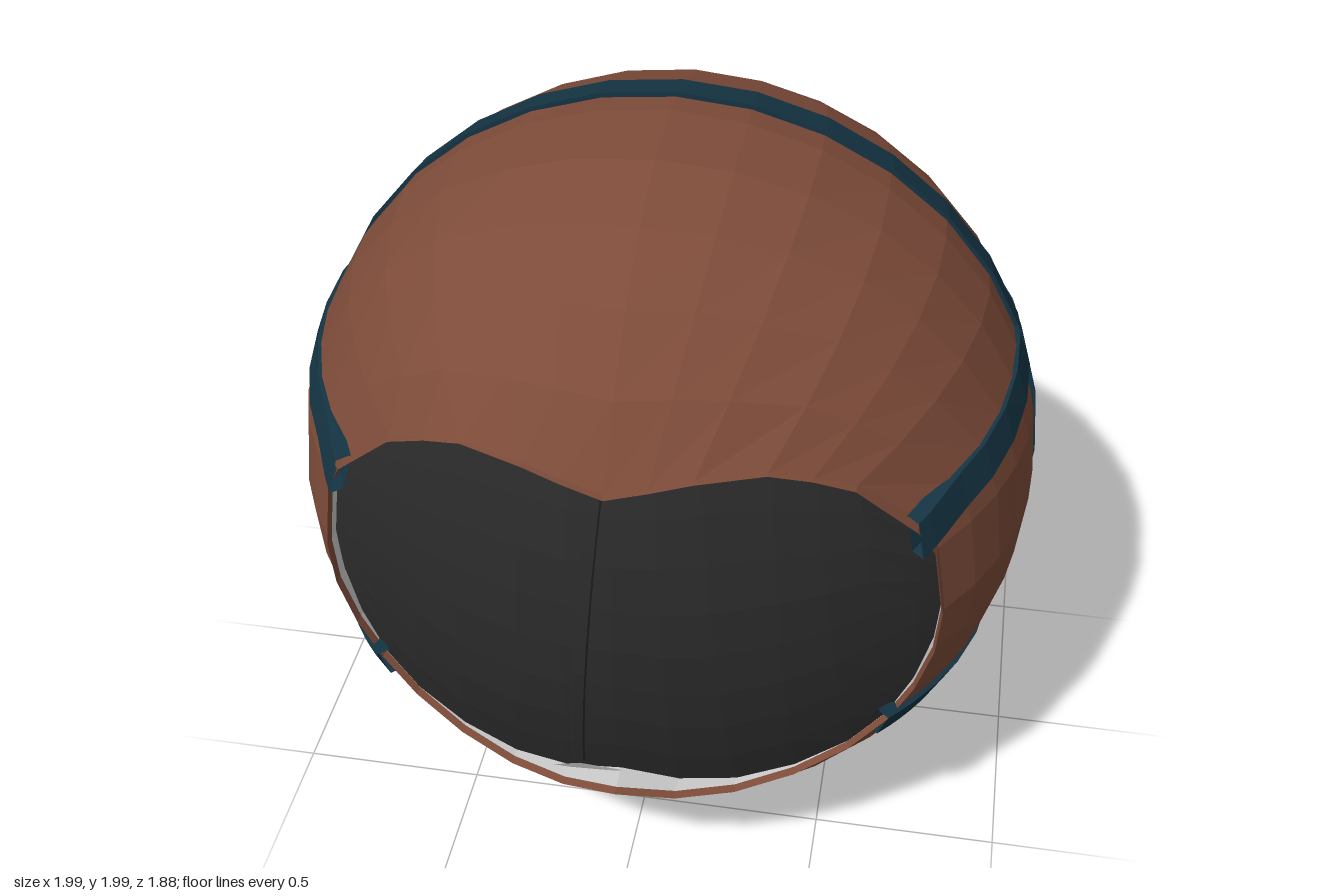
import * as THREE from 'three';

const R = 0.992, N = 32, STEP = (Math.PI * 2) / N;
const CENTRE = [0, 1, 0.055];

const paint = (color) => new THREE.MeshStandardMaterial({ color, flatShading: true, side: THREE.DoubleSide });

// Surface through rows of points
function loft(rows, closeRows = false, closeCols = false) {
  const n = rows.length, m = rows[0].length, index = [];
  for (let i = 0; i < (closeRows ? n : n - 1); i++) {
    for (let j = 0; j < (closeCols ? m : m - 1); j++) {
      const i2 = (i + 1) % n, j2 = (j + 1) % m;
      const a = i * m + j, b = i * m + j2, c = i2 * m + j, d = i2 * m + j2;
      index.push(a, c, b, b, c, d);
    }
  }
  const geo = new THREE.BufferGeometry();
  geo.setAttribute('position', new THREE.Float32BufferAttribute(rows.flat(2), 3));
  geo.setIndex(index);
  geo.computeVertexNormals();
  return geo;
}

// Half of the face opening, from top centre to bottom centre: x, y and how far the lip curls forward
const HALF = [
  [0, 0.47, 0.018], [0.1, 0.49, 0.018], [0.2, 0.505, 0.015], [0.36, 0.505, 0.01], [0.46, 0.475, 0.01],
  [0.56, 0.435, 0.025], [0.71, 0.3, 0.055], [0.76, 0.2, 0.03], [0.79, 0, 0.02], [0.78, -0.13, 0.02],
  [0.74, -0.27, 0.01], [0.68, -0.39, 0.005], [0.585, -0.485, 0.005], [0.45, -0.555, 0.005],
  [0.3, -0.595, 0.01], [0.15, -0.59, 0.015], [0, -0.55, 0.02],
];
const OUTLINE = Array.from({ length: N }, (_, k) => {
  const [x, y, curl] = HALF[Math.min(k, N - k)];
  return [k <= 16 ? x : -x, y, curl];
});

const visorZ = (x, y) => 0.845 - 0.46 * x * x - 0.3 * y * y;

// Rear half: a cube rounded into a sphere
function backShell() {
  const geo = new THREE.BoxGeometry(2, 2, 2, 8, 8, 8);
  const p = geo.attributes.position, v = new THREE.Vector3();
  for (let i = 0; i < p.count; i++) {
    v.fromBufferAttribute(p, i);
    v.set(...v.toArray().map((c) => Math.tan((c * Math.PI) / 4))).setLength(R);
    p.setXYZ(i, v.x, v.y, v.z);
  }
  const old = geo.index.array, keep = [];
  for (let i = 0; i < old.length; i += 3) {
    const tri = [old[i], old[i + 1], old[i + 2]];
    if (tri.every((k) => p.getZ(k) < 0.001)) keep.push(...tri);
  }
  geo.clearGroups();
  geo.setIndex(keep);
  geo.computeVertexNormals();
  return geo;
}

// Front half: from the widest ring to the opening, with a curled lip
function frontShell() {
  const rows = [], steps = 5;
  const edges = OUTLINE.map(([x, y]) => new THREE.Vector3(x, y, Math.sqrt(R * R - x * x - y * y)));
  for (let i = 0; i <= steps; i++) {
    rows.push(edges.map((edge, k) => {
      const start = new THREE.Vector3(Math.sin(k * STEP), Math.cos(k * STEP), 0).multiplyScalar(R);
      const angle = start.angleTo(edge), t = i / steps;
      return start.multiplyScalar(Math.sin((1 - t) * angle) / Math.sin(angle))
        .addScaledVector(edge, Math.sin(t * angle) / Math.sin(angle)).toArray();
    }));
  }
  rows.push(edges.map((e, k) => [e.x * 0.997, e.y * 0.997, e.z + OUTLINE[k][2]]));
  rows.push(edges.map((e, k) => [e.x * 0.99, e.y * 0.985, e.z + OUTLINE[k][2] - 0.02]));
  return { geo: loft(rows, false, true), rim: rows[rows.length - 1] };
}

// Visor in columns from side to side
function visor() {
  const rows = [];
  for (let c = -8; c <= 8; c++) {
    const k = Math.abs(c), s = Math.sign(c);
    const [tx, ty] = HALF[k], [bx, by] = HALF[16 - k];
    rows.push(Array.from({ length: 9 }, (_, j) => {
      const t = j / 8, x = s * (bx + (tx - bx) * t), y = by + (ty - by) * t;
      return [x, y, visorZ(x, y)];
    }));
  }
  return loft(rows);
}

// Slanted seam down the visor
function seam() {
  const rows = [];
  for (let j = 0; j <= 10; j++) {
    const t = j / 10, y = 0.46 - t * 0.99, x = -0.035 - t * 0.08;
    rows.push([[0.018, 0], [0.014, 0.006], [-0.014, 0.006], [-0.018, 0]]
      .map(([dx, dz]) => [x + dx, y, visorZ(x + dx, y) + dz]));
  }
  return loft(rows);
}

// Small pale gusset at the foot of the seam
function gusset() {
  return loft([[[-0.19, -0.585], [-0.11, -0.535]], [[0.01, -0.56], [0, -0.535]]]
    .map((row) => row.map(([x, y]) => [x, y, visorZ(x, y) + 0.012])));
}

const OUT = R + 0.008, IN = R - 0.03;
const section = (lo, hi) => [[OUT, lo], [OUT, hi], [IN, hi], [IN, lo]];

// Strap running round the sides and back, its ends lifted over the lip
function sideStrap(heights, width, endLift) {
  const curve = new THREE.CatmullRomCurve3(
    [46, 58, 93, 139, 180].map((a, i) => new THREE.Vector3(a, heights[i], i === 0 ? endLift : 0)));
  const pts = curve.getPoints(16);
  const path = [...pts, ...pts.slice(0, -1).reverse().map((p) => new THREE.Vector3(360 - p.x, p.y, p.z))];
  return loft(path.map((p) => {
    const a = THREE.MathUtils.degToRad(p.x), lift = Math.max(0, p.z);
    return section(p.y - width / 2, p.y + width / 2).map(([r, y]) => {
      const h = Math.sqrt(r * r - y * y) + lift;
      return [Math.sin(a) * h, y, Math.cos(a) * h];
    });
  }), false, true);
}

// Closed strap over the top and under the bottom
function hoopStrap() {
  return loft(Array.from({ length: N }, (_, k) => section(-0.09, -0.19).map(([r, z]) => {
    const h = Math.sqrt(r * r - z * z);
    return [Math.sin(k * STEP) * h, Math.cos(k * STEP) * h, z];
  })), true, true);
}

export function createModel() {
  const model = new THREE.Group();
  model.name = 'roundHelmet';
  const brown = paint(0x7d4b39), teal = paint(0x153443), dark = paint(0x2b2b2b), grey = paint(0xcccccc);
  const add = (name, geo, material) => {
    const mesh = new THREE.Mesh(geo, material);
    mesh.name = name;
    mesh.position.set(...CENTRE);
    model.add(mesh);
  };

  const front = frontShell();
  add('backShell', backShell(), brown);
  add('frontShell', front.geo, brown);

  // Lining between the lip and the visor
  const inner = front.rim.map(([x, y]) => [x, y, visorZ(x, y) - 0.01]);
  add('openingLining', loft([front.rim, inner], false, true), grey);

  add('visor', visor(), dark);
  add('visorSeam', seam(), dark);
  add('seamGusset', gusset(), grey);

  add('upperStrap', sideStrap([0.285, 0.305, 0.355, 0.315, 0.355], 0.09, 0.04), teal);
  add('lowerStrap', sideStrap([-0.385, -0.4, -0.44, -0.39, -0.44], 0.085, 0.005), teal);
  add('hoopStrap', hoopStrap(), teal);
  return model;
}
